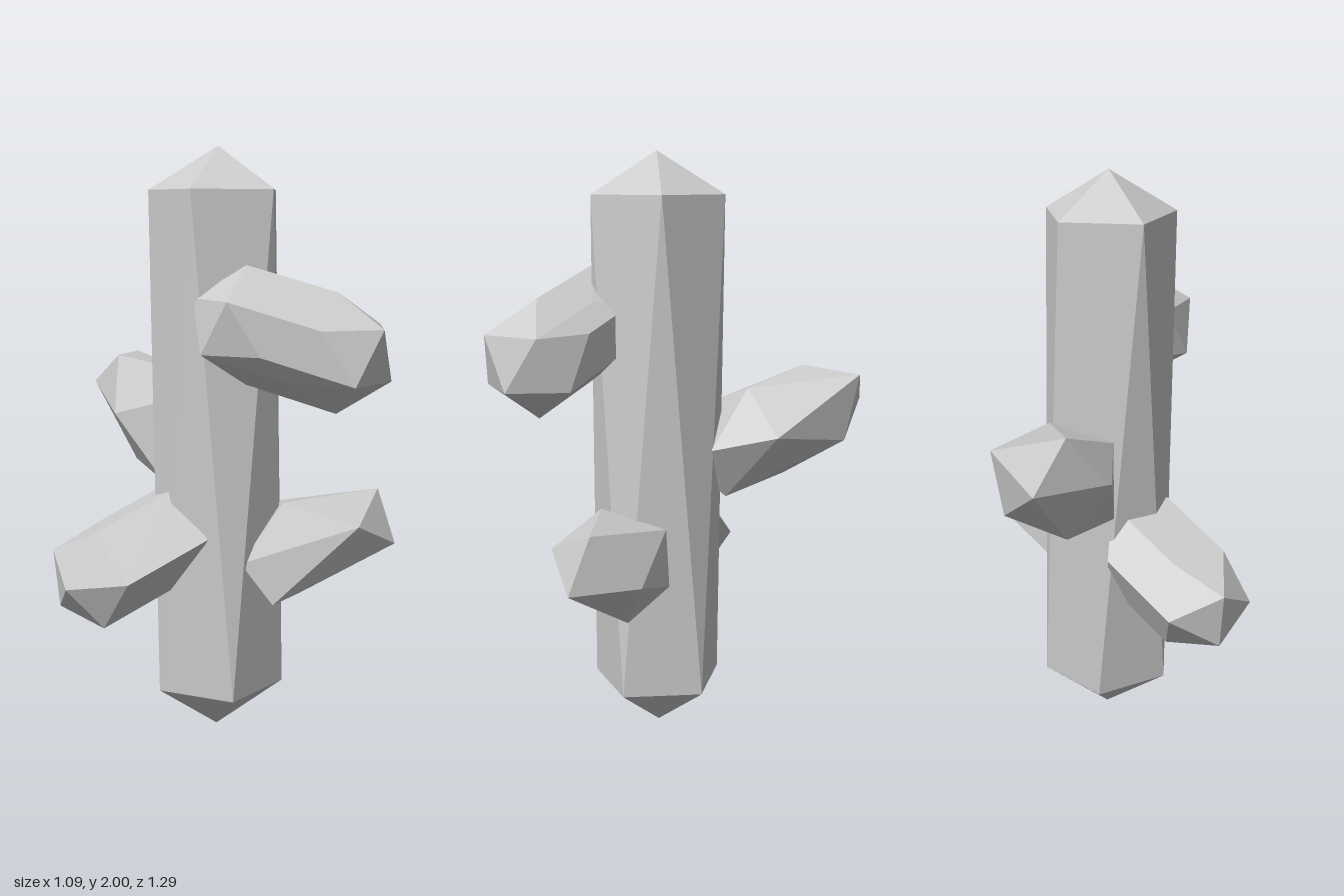
import * as THREE from 'three';
import { ConvexGeometry } from 'three/addons/geometries/ConvexGeometry.js';

const material = new THREE.MeshStandardMaterial({ color: 0xcccccc, flatShading: true });
const v = (x, y, z) => new THREE.Vector3(x, y, z);

// Pentagon of points around a vertical axis
function ring(x, y, z, r, turn) {
  return Array.from({ length: 5 }, (_, i) => {
    const a = turn + (i * Math.PI * 2) / 5;
    return v(x + r * Math.cos(a), y, z + r * Math.sin(a));
  });
}

// Corners of an upright icosahedron
function icoPoints(x, y, z, r) {
  const h = r / Math.sqrt(5);
  return [
    v(x, y + r, z), ...ring(x, y + h, z, 2 * h, 0),
    ...ring(x, y - h, z, 2 * h, Math.PI / 5), v(x, y - r, z),
  ];
}

function crystal(name, points) {
  const mesh = new THREE.Mesh(new ConvexGeometry(points), material);
  mesh.name = name;
  return mesh;
}

export function createModel() {
  const group = new THREE.Group();
  group.name = 'crystalCluster';

  // Tall shaft: two pentagons turned against each other, with pointed ends
  group.add(crystal('mainShaft', [
    v(0.01, 2, 0.08), ...ring(0.01, 1.86, 0.08, 0.23, 0),
    ...ring(0.01, 0.17, 0.08, 0.23, Math.PI / 5), v(0.01, 0, 0.08),
  ]));

  // Upper front shoot: an icosahedron drawn out from the shaft
  group.add(crystal('frontShoot', [
    ...icoPoints(0.21, 1.348, 0.476, 0.193),
    ...icoPoints(-0.02, 1.435, 0.3, 0.19),
  ]));

  // Lower right-hand shoot: an uneven end swept back into the shaft
  const rightEnd = [
    [-0.385, 0.595, 0.165], [-0.36, 0.585, -0.225], [-0.515, 0.665, -0.125],
    [-0.55, 0.575, 0.045], [-0.445, 0.75, 0.045], [-0.325, 0.75, -0.12],
    [-0.42, 0.425, 0.06], [-0.5, 0.47, -0.11], [-0.3, 0.43, -0.1],
  ].map((p) => v(...p));
  const sweep = v(0.26, 0.135, 0.075);
  group.add(crystal('rightShoot', [...rightEnd, ...rightEnd.map((p) => p.clone().add(sweep))]));

  // Lower left-hand shoot
  group.add(crystal('leftShoot', [
    [0.515, 0.845, 0.325], [0.34, 0.755, 0.445], [0.54, 0.66, 0.395], [0.48, 0.66, 0.165],
    [0.275, 0.47, 0.2], [0.06, 0.505, 0.35], [-0.025, 0.645, 0.285], [0.145, 0.83, 0.28],
    [0.245, 0.78, 0.07], [0.25, 0.585, 0.06],
  ].map((p) => v(...p))));

  // Back shoot, rising away from the shaft
  group.add(crystal('backShoot', [
    [0.075, 1.26, -0.605], [-0.09, 1.15, -0.645], [-0.095, 1.27, -0.44], [0.06, 1.03, -0.56],
    [0.2, 1.07, -0.305], [0.08, 1.22, -0.22], [-0.185, 1.08, -0.3], [-0.06, 0.89, -0.37],
    [0.145, 1.02, -0.09], [0.06, 0.84, -0.15], [-0.1, 0.86, -0.1], [-0.1, 1.14, -0.11],
  ].map((p) => v(...p))));

  return group;
}
